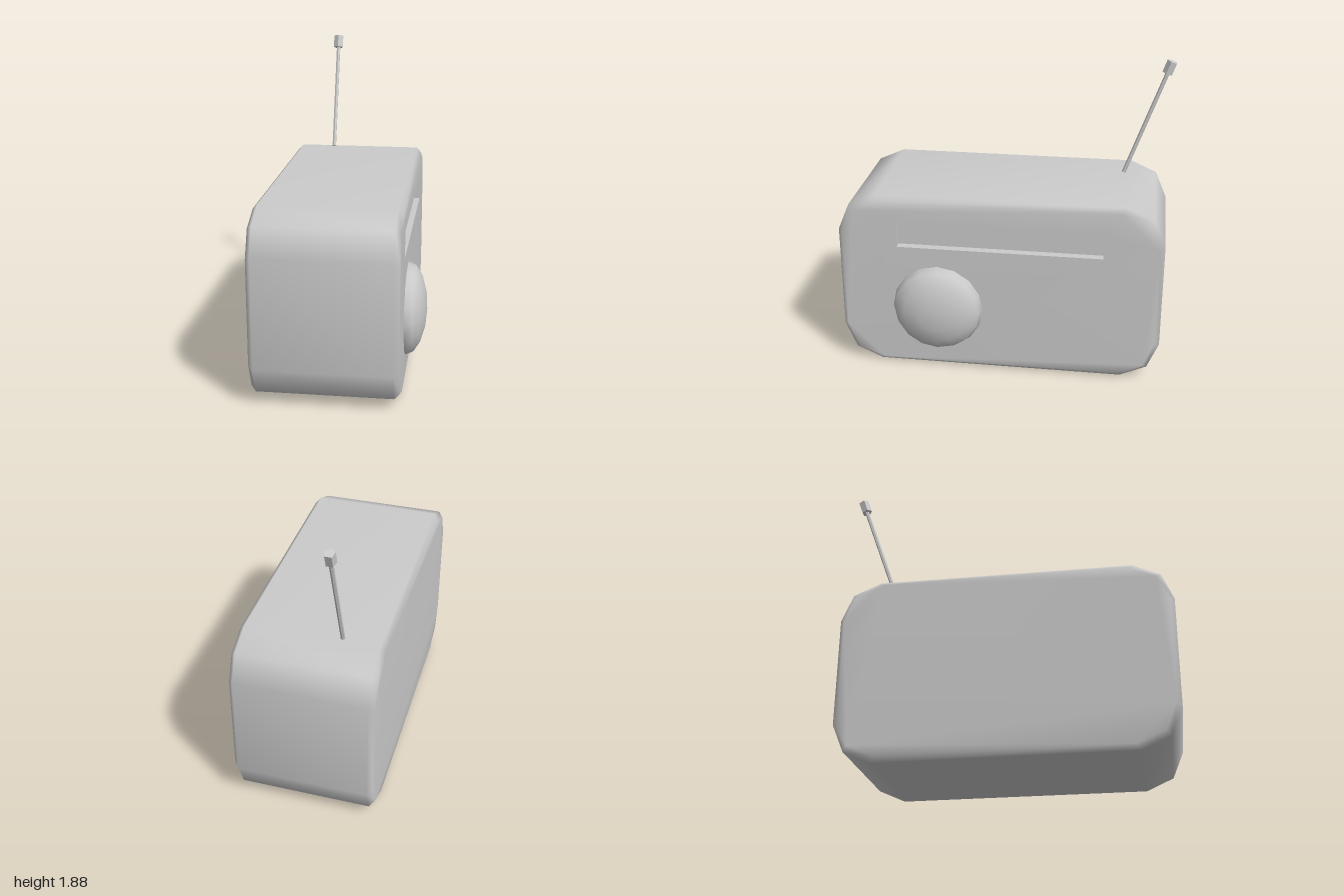
import * as THREE from 'three';
import { mergeGeometries, mergeVertices } from 'three/addons/utils/BufferGeometryUtils.js';

const V = (x, y) => new THREE.Vector2(x, y);
const MID_Z = 0.01, MID_Y = 0.5675, HALF_W = 0.99, HALF_H = 0.5675;
const RIGHT_X = 0.36, LEFT_X = -0.49, BEVEL = 0.03;

// Side outline, counter-clockwise in (u = -z, y), with cut corners; inset shrinks it
function outline(inset) {
  const corner = [[1, 0.58], [0.93, 0.87], [0.764, 1]];
  const pts = [];
  for (const [su, sy, flip] of [[1, 1, 0], [-1, 1, 1], [-1, -1, 0], [1, -1, 1]]) {
    const c = flip ? [...corner].reverse() : corner;
    for (const [a, b] of c) pts.push(V(-MID_Z + su * a * (HALF_W - inset), MID_Y + sy * b * (HALF_H - inset)));
  }
  return pts;
}

// Window rectangle in (u, y)
const win = { u0: -0.635, u1: 0.62, y0: 0.81, y1: 0.97, depth: 0.05 };

function bodyGeometry() {
  // Outer wall: four rings joined by quads
  const rings = [[LEFT_X, BEVEL], [LEFT_X + BEVEL, 0], [RIGHT_X - BEVEL, 0], [RIGHT_X, BEVEL]];
  const pos = [], idx = [];
  rings.forEach(([w, inset]) => outline(inset).forEach(p => pos.push(p.x, p.y, w)));
  const n = outline(0).length;
  for (let r = 0; r < rings.length - 1; r++)
    for (let i = 0; i < n; i++) {
      const a = r * n + i, b = r * n + (i + 1) % n;
      idx.push(a, b, b + n, a, b + n, a + n);
    }
  const wall = new THREE.BufferGeometry();
  wall.setAttribute('position', new THREE.Float32BufferAttribute(pos, 3));
  wall.setIndex(idx);

  // Face with the window opening
  const faceShape = new THREE.Shape(outline(BEVEL));
  faceShape.holes.push(new THREE.Path([
    V(win.u0, win.y0), V(win.u0, win.y1), V(win.u1, win.y1), V(win.u1, win.y0)]));
  const face = new THREE.ShapeGeometry(faceShape).translate(0, 0, RIGHT_X);

  // Plain opposite face, turned to point outward
  const back = new THREE.ShapeGeometry(new THREE.Shape(outline(BEVEL))).translate(0, 0, LEFT_X);
  back.setIndex(Array.from(back.index.array).reverse());

  for (const g of [face, back]) { g.deleteAttribute('normal'); g.deleteAttribute('uv'); }
  const body = mergeVertices(mergeGeometries([wall, face, back]), 1e-4);
  body.computeVertexNormals();
  return body.rotateY(Math.PI / 2);
}

// Inside of the sunken window: a box without its open side, turned inside out
function recessGeometry() {
  const g = new THREE.BoxGeometry(win.depth, win.y1 - win.y0, win.u1 - win.u0);
  const keep = Array.from(g.index.array).slice(6);
  g.setIndex(keep.reverse());
  const nrm = g.attributes.normal;
  for (let i = 0; i < nrm.count; i++) nrm.setXYZ(i, -nrm.getX(i), -nrm.getY(i), -nrm.getZ(i));
  return g.translate(RIGHT_X - win.depth / 2, (win.y0 + win.y1) / 2, -(win.u0 + win.u1) / 2);
}

export function createModel() {
  const group = new THREE.Group();
  const smooth = new THREE.MeshStandardMaterial({ color: 0xcccccc });
  const flat = new THREE.MeshStandardMaterial({ color: 0xcccccc, flatShading: true });
  const add = (name, geometry, material, parent = group) => {
    const mesh = new THREE.Mesh(geometry, material);
    mesh.name = name;
    parent.add(mesh);
    return mesh;
  };

  add('body', bodyGeometry(), smooth);
  add('windowRecess', recessGeometry(), flat);

  // Domed speaker: flattened half sphere pointing to +x
  const dome = new THREE.SphereGeometry(0.28, 16, 4, 0, Math.PI * 2, 0, Math.PI / 2);
  dome.rotateZ(-Math.PI / 2).scale(0.12 / 0.28, 1, 1);
  add('speakerDome', dome, smooth).position.set(RIGHT_X, 0.41, 0.39);

  // Antenna leaning to the back, with a five-sided tip
  const antenna = new THREE.Group();
  antenna.name = 'antenna';
  antenna.position.set(-0.24, 1.14, -0.705);
  antenna.rotation.x = -0.345;
  group.add(antenna);
  add('antennaRod', new THREE.CylinderGeometry(0.013, 0.013, 0.71, 6).translate(0, 0.355, 0), flat, antenna);
  add('antennaTip', new THREE.CylinderGeometry(0.033, 0.033, 0.08, 5).translate(0, 0.73, 0), flat, antenna);

  return group;
}
